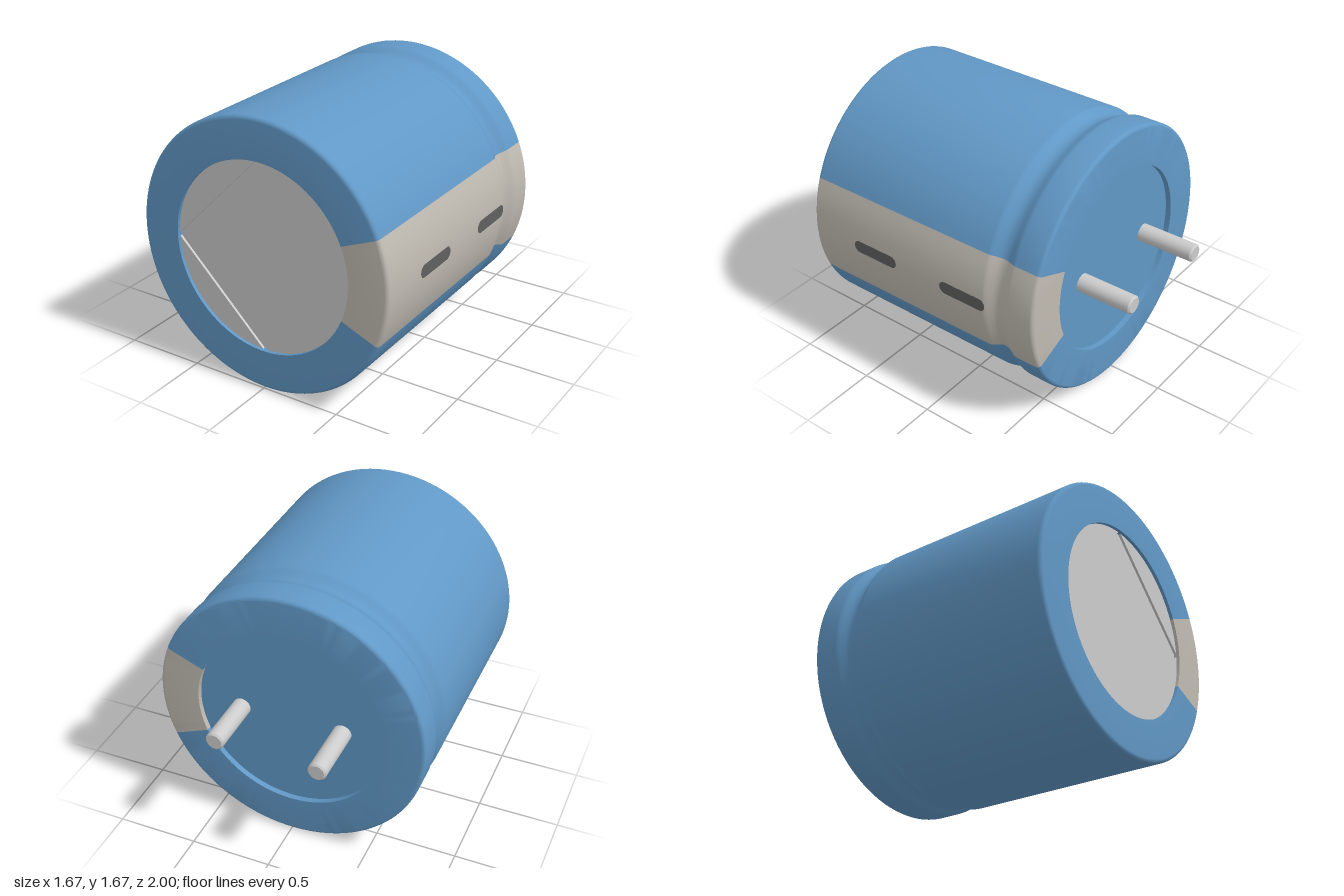
import * as THREE from 'three';
import { toCreasedNormals } from 'three/addons/utils/BufferGeometryUtils.js';

const R = 0.833, HOLE = 0.583, BACK = -0.665, FRONT = 1, ROUND = 0.025;
const STRIPE = Math.PI / 4; // angle covered by the pale stripe

const mat = (color) => new THREE.MeshStandardMaterial({ color });
const blue = mat(0x6198c6), beige = mat(0xc0bbb2), dark = mat(0x606060), grey = mat(0xcccccc);

function add(parent, name, geometry, material) {
  const mesh = new THREE.Mesh(geometry, material);
  mesh.name = name;
  parent.add(mesh);
  return mesh;
}

// Sleeve cross-section (radius, z) from the back recess to the front recess
function sleeveProfile() {
  const pts = [[HOLE, BACK + 0.04], [HOLE, BACK]];
  for (let i = 0; i <= 5; i++) {
    const a = (i / 5) * Math.PI / 2;
    pts.push([R - ROUND + ROUND * Math.sin(a), BACK + ROUND - ROUND * Math.cos(a)]);
  }
  // crimped groove
  pts.push([R, -0.5], [R - 0.003, -0.485], [R - 0.012, -0.468], [R - 0.027, -0.44], [R - 0.034, -0.42],
    [R - 0.035, -0.4], [R - 0.034, -0.385], [R - 0.027, -0.368], [R - 0.012, -0.34], [R - 0.003, -0.325], [R, -0.31]);
  for (let i = 0; i <= 5; i++) {
    const a = (i / 5) * Math.PI / 2;
    pts.push([R - ROUND + ROUND * Math.cos(a), FRONT - ROUND + ROUND * Math.sin(a)]);
  }
  pts.push([HOLE, FRONT], [HOLE, FRONT - 0.04]);
  return pts.map(([r, z]) => new THREE.Vector2(r, z));
}

function sleeve(segments, start, length) {
  const g = new THREE.LatheGeometry(sleeveProfile(), segments, start, length);
  g.rotateX(Math.PI / 2); // lathe axis to z
  return toCreasedNormals(g, 0.6);
}

// Rounded dash laid onto the curved side of the stripe
function dashGeometry(zCentre) {
  const h = 0.04, half = 0.165 - h;
  const s = new THREE.Shape();
  s.absarc(half, 0, h, -Math.PI / 2, Math.PI / 2);
  s.absarc(-half, 0, h, Math.PI / 2, Math.PI * 1.5);
  const g = new THREE.ShapeGeometry(s, 12);
  g.rotateY(Math.PI / 2);
  g.translate(0, 0, zCentre);
  const p = g.attributes.position;
  for (let i = 0; i < p.count; i++) p.setX(i, Math.sqrt(R * R - p.getY(i) ** 2) + 0.003);
  g.computeVertexNormals();
  return g;
}

// Quarter of the front plate, inset so a cross-shaped slot remains
function quarterGeometry() {
  const gap = 0.011, a = Math.asin(gap / HOLE);
  const s = new THREE.Shape();
  s.moveTo(gap, gap);
  s.absarc(0, 0, HOLE, a, Math.PI / 2 - a);
  s.closePath();
  return new THREE.ExtrudeGeometry(s, { depth: 0.015, bevelEnabled: false, curveSegments: 32 });
}

function pinGeometry(length) {
  const r = 0.056, c = 0.01;
  const pts = [[0, -length], [r - c, -length], [r, -length + c], [r, 0.05]];
  const g = new THREE.LatheGeometry(pts.map(([x, y]) => new THREE.Vector2(x, y)), 32);
  g.rotateX(Math.PI / 2);
  return toCreasedNormals(g, 0.6);
}

export function createModel() {
  const model = new THREE.Group();
  model.name = 'capacitor';
  const can = new THREE.Group();
  can.name = 'can';
  can.position.y = R;
  model.add(can);

  // Sleeve in two colours, stripe centred on +x
  const edge = Math.PI / 2 + STRIPE / 2;
  add(can, 'sleeve', sleeve(112, edge, Math.PI * 2 - STRIPE), blue);
  add(can, 'stripe', sleeve(16, edge - STRIPE, STRIPE), beige);
  [0.5, -0.165].forEach((z) => add(can, 'stripeDash', dashGeometry(z), dark));

  // Front plate with scored cross
  add(can, 'frontPlate', new THREE.CircleGeometry(HOLE, 128), grey).position.z = FRONT - 0.035;
  const quarter = quarterGeometry();
  for (let i = 0; i < 4; i++) {
    const q = add(can, 'frontPlateQuarter', quarter, grey);
    q.rotation.z = i * Math.PI / 2;
    q.position.z = FRONT - 0.035;
  }

  // Recessed back plate and terminals
  const back = add(can, 'backPlate', new THREE.CircleGeometry(HOLE, 128), blue);
  back.rotation.y = Math.PI;
  back.position.z = BACK + 0.035;
  [[-0.32, 0.335], [0.315, 0.32]].forEach(([x, length]) => {
    add(can, 'terminalPin', pinGeometry(length), grey).position.set(x, 0, BACK);
  });

  return model;
}
